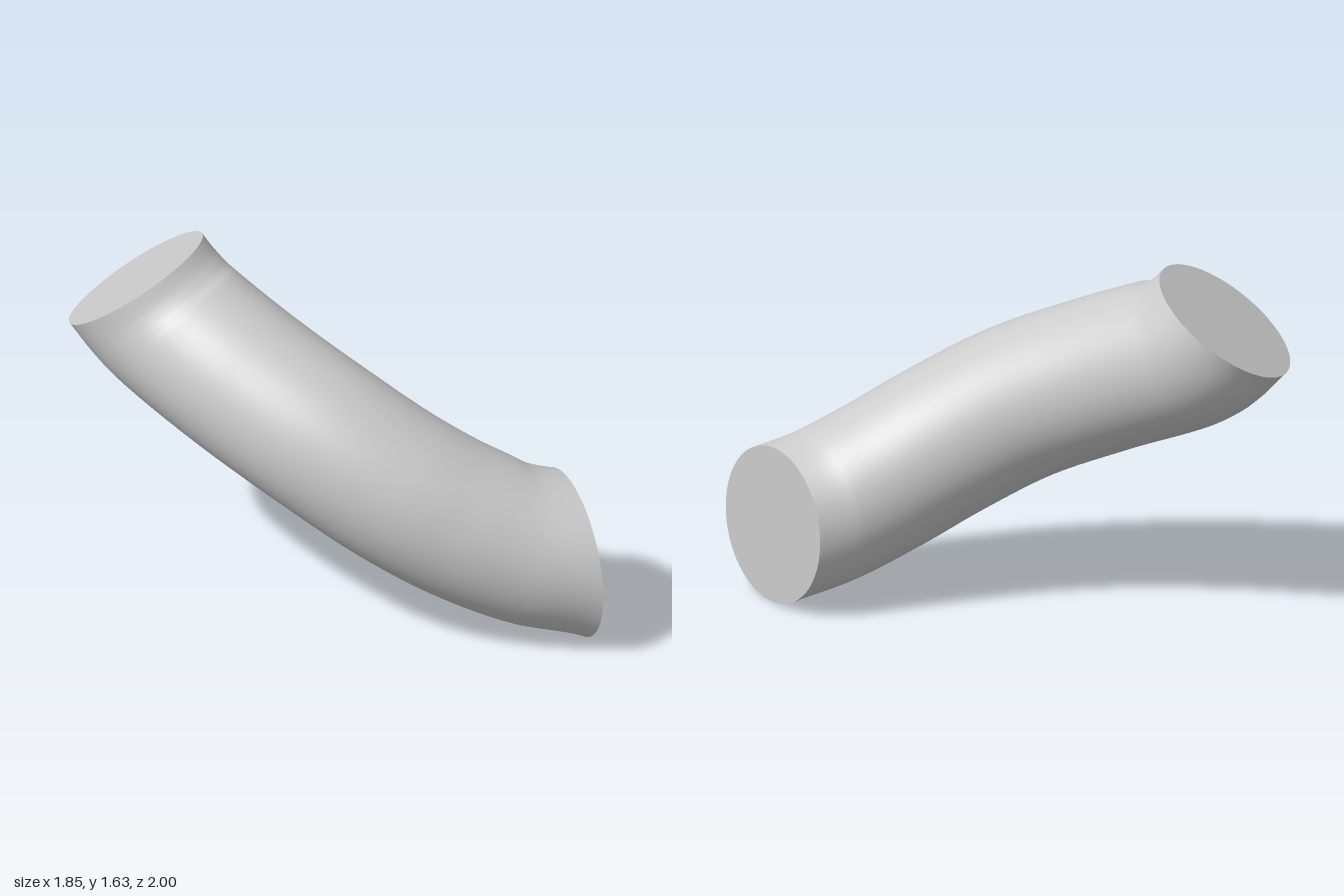
import * as THREE from 'three';

const RADIUS = 0.353, RINGS = 96, SIDES = 64;

// Centre line from the raised back end to the low end at +x
const path = new THREE.CatmullRomCurve3([
  [-0.61, 1.425, -0.68], [-0.557, 1.339, -0.618], [-0.497, 1.262, -0.529],
  [-0.3, 1.095, -0.21], [-0.05, 0.91, 0.105], [0.21, 0.715, 0.32],
  [0.456, 0.555, 0.45], [0.7, 0.435, 0.547], [0.92, 0.37, 0.622],
].map(p => new THREE.Vector3(...p)));

// Planes of the two cut ends, facing outwards
const startNormal = new THREE.Vector3(-0.417, 0.807, -0.417).normalize();
const endNormal = new THREE.Vector3(1, 0, 0);

// Rings of points round the path; those near an end slide onto its cut plane
function makeRings() {
  const frames = path.computeFrenetFrames(RINGS, false);
  const rings = [];
  for (let i = 0; i <= RINGS; i++) {
    const u = i / RINGS, centre = path.getPointAt(u), t = frames.tangents[i];
    const cuts = [
      [startNormal, path.points[0], 1 - THREE.MathUtils.smoothstep(u, 0, 0.2)],
      [endNormal, path.points.at(-1), THREE.MathUtils.smoothstep(u, 0.75, 1)],
    ];
    const ring = [];
    for (let j = 0; j < SIDES; j++) {
      const a = (j / SIDES) * Math.PI * 2;
      const v = centre.clone()
        .addScaledVector(frames.normals[i], RADIUS * Math.cos(a))
        .addScaledVector(frames.binormals[i], RADIUS * Math.sin(a));
      for (const [n, origin, weight] of cuts) {
        if (weight === 0) continue;
        const tilt = n.dot(v.clone().sub(centre)) / n.dot(t);
        v.addScaledVector(t, -tilt * weight);
      }
      ring.push(v);
    }
    rings.push(ring);
  }
  return rings;
}

function makeGeometry(points, index) {
  const g = new THREE.BufferGeometry().setFromPoints(points);
  g.setIndex(index);
  g.computeVertexNormals();
  return g;
}

// Flat disc closing one ring
function makeCap(ring, flip) {
  const centre = ring.reduce((s, v) => s.add(v), new THREE.Vector3()).divideScalar(SIDES);
  const index = [];
  for (let j = 0; j < SIDES; j++) {
    const k = (j + 1) % SIDES;
    index.push(SIDES, flip ? k : j, flip ? j : k);
  }
  return makeGeometry([...ring, centre], index);
}

export function createModel() {
  const group = new THREE.Group();
  group.name = 'bentRod';
  const material = new THREE.MeshStandardMaterial({ color: 0xcccccc, side: THREE.DoubleSide });
  const add = (name, geometry) => {
    const mesh = new THREE.Mesh(geometry, material);
    mesh.name = name;
    group.add(mesh);
  };

  const rings = makeRings();
  const index = [];
  for (let i = 0; i < RINGS; i++) {
    for (let j = 0; j < SIDES; j++) {
      const k = (j + 1) % SIDES;
      const a = i * SIDES + j, b = i * SIDES + k, c = a + SIDES, d = b + SIDES;
      index.push(a, b, c, b, d, c);
    }
  }
  add('curvedBody', makeGeometry(rings.flat(), index));
  add('upperEndCap', makeCap(rings[0], true));
  add('lowerEndCap', makeCap(rings[RINGS], false));
  return group;
}
